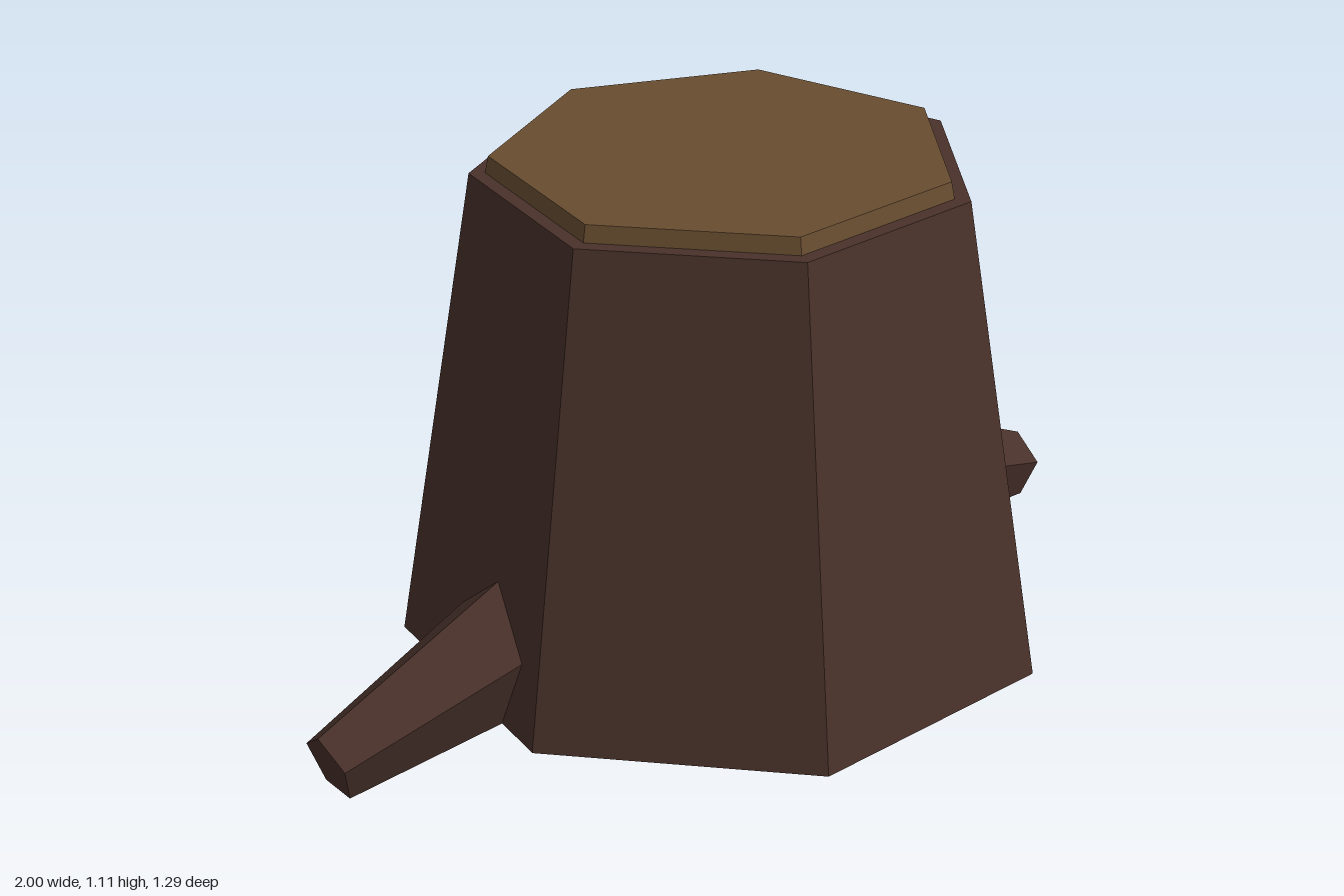
import * as THREE from 'three';

const bark = new THREE.MeshStandardMaterial({ color: 0x49312a });
bark.name = 'bark';
const cutWood = new THREE.MeshStandardMaterial({ color: 0x684d30 });
cutWood.name = 'cutWood';

// Tapered prism without shared normals, so every facet is flat
function prism(name, material, rTop, rBottom, height, sides, start = 0) {
  const geometry = new THREE.CylinderGeometry(rTop, rBottom, height, sides, 1, false, start).toNonIndexed();
  geometry.computeVertexNormals();
  const mesh = new THREE.Mesh(geometry, material);
  mesh.name = name;
  return mesh;
}

// Five-sided root with a ridge on top, running from inside the trunk down to its tip
function root(name, side) {
  const inner = new THREE.Vector3(0.5 * side, 0.206, -0.01);
  const tip = new THREE.Vector3(0.98 * side, 0.06, -0.053);
  const along = tip.clone().sub(inner);
  const length = along.length();
  along.normalize();
  const ridge = new THREE.Vector3(0, 1, 0).addScaledVector(along, -along.y).normalize();
  const across = new THREE.Vector3().crossVectors(along, ridge);

  const mesh = prism(name, bark, 0.0745, 0.15, length, 5);
  mesh.quaternion.setFromRotationMatrix(new THREE.Matrix4().makeBasis(across, along, ridge));
  mesh.position.copy(inner).add(tip).multiplyScalar(0.5);
  return mesh;
}

export function createModel() {
  const stump = new THREE.Group();
  stump.name = 'treeStump';

  // Seven-sided trunk, one corner pointing to the back
  const trunk = prism('trunk', bark, 0.51, 0.676, 1.017, 7, Math.PI);
  trunk.position.set(0, 0.063 + 1.017 / 2, 0.031);

  // Sawn face, slightly raised inside the bark rim
  const sawnTop = prism('sawnTop', cutWood, 0.47, 0.479, 0.045, 7, Math.PI);
  sawnTop.position.set(0, 1.115 - 0.045 / 2, 0.03);

  stump.add(trunk, sawnTop, root('leftRoot', 1), root('rightRoot', -1));
  return stump;
}
